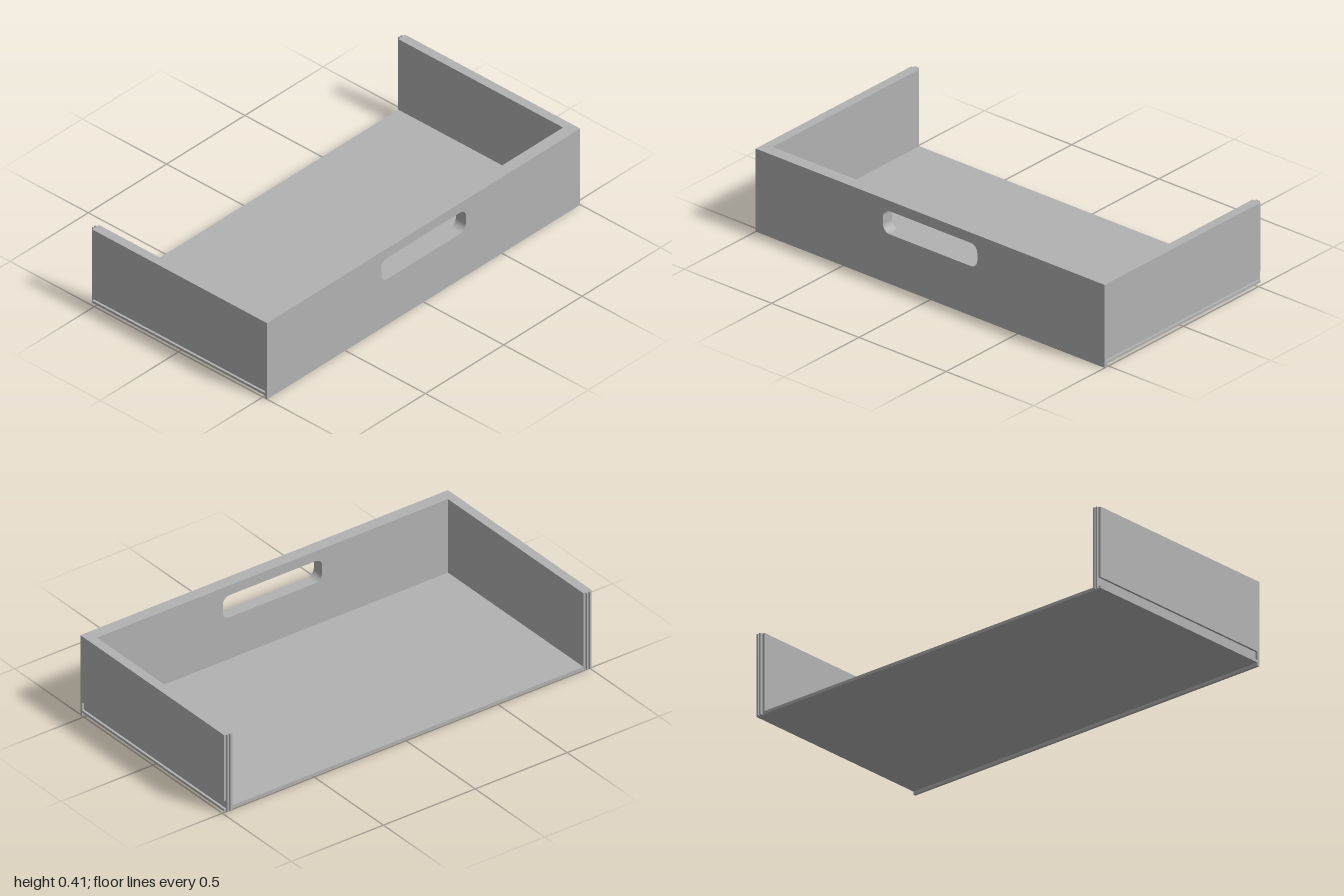
import * as THREE from 'three';

const TOP = 0.405, BASE = 0.015, BACK = -0.513, LIP = 0.513, FRONT = 0.525;

// Extrudes a shape along z between two planes
function slab(shape, z0, z1, material, name) {
  const geometry = new THREE.ExtrudeGeometry(shape, { depth: z1 - z0, bevelEnabled: false, curveSegments: 8 });
  geometry.translate(0, 0, z0);
  const mesh = new THREE.Mesh(geometry, material);
  mesh.name = name;
  return mesh;
}

function polygon(points) {
  return new THREE.Shape(points.map(([x, y]) => new THREE.Vector2(x, y)));
}

function rect(x0, x1, y0, y1) {
  return polygon([[x0, y0], [x1, y0], [x1, y1], [x0, y1]]);
}

// Rounded slot for the hand grip
function gripHole() {
  const x = 0.27, y0 = 0.242, y1 = 0.355, r = 0.037;
  const h = new THREE.Path();
  h.moveTo(-x + r, y0);
  h.lineTo(x - r, y0);
  h.absarc(x - r, y0 + r, r, -Math.PI / 2, 0);
  h.absarc(x - r, y1 - r, r, 0, Math.PI / 2);
  h.absarc(-x + r, y1 - r, r, Math.PI / 2, Math.PI);
  h.absarc(-x + r, y0 + r, r, Math.PI, Math.PI * 1.5);
  return h;
}

export function createModel() {
  const model = new THREE.Group();
  model.name = 'openBackTray';
  const grey = new THREE.MeshStandardMaterial({ color: 0xb2b2b2 });
  grey.name = 'grey';

  // Front panel, with a thin face that hangs below the floor
  const inner = rect(-0.955, 0.955, BASE, TOP);
  const face = rect(-1, 1, 0, TOP);
  for (const s of [inner, face]) s.holes.push(gripHole());
  model.add(slab(inner, 0.465, LIP, grey, 'frontPanel'));
  model.add(slab(face, LIP, FRONT, grey, 'frontFace'));

  // Floor
  model.add(slab(rect(-0.955, 0.955, BASE, 0.03), BACK, 0.465, grey, 'floor'));

  for (const s of [1, -1]) {
    const label = s > 0 ? 'left' : 'right';
    // Side wall with a runner groove along the outside
    const profile = [
      [0.955, BASE], [1, BASE], [1, 0.027], [0.989, 0.027],
      [0.989, 0.068], [1, 0.068], [1, TOP], [0.955, TOP],
    ].map(([x, y]) => [s * x, y]);
    model.add(slab(polygon(profile), BACK, LIP, grey, label + 'Wall'));

    // Pair of upright ridges on the back end of the wall
    for (const [x0, x1] of [[0.967, 0.975], [0.981, 0.989]]) {
      const ridge = rect(s * x0, s * x1, BASE, TOP);
      model.add(slab(ridge, -FRONT, BACK, grey, label + 'BackRidge'));
    }
  }
  return model;
}
